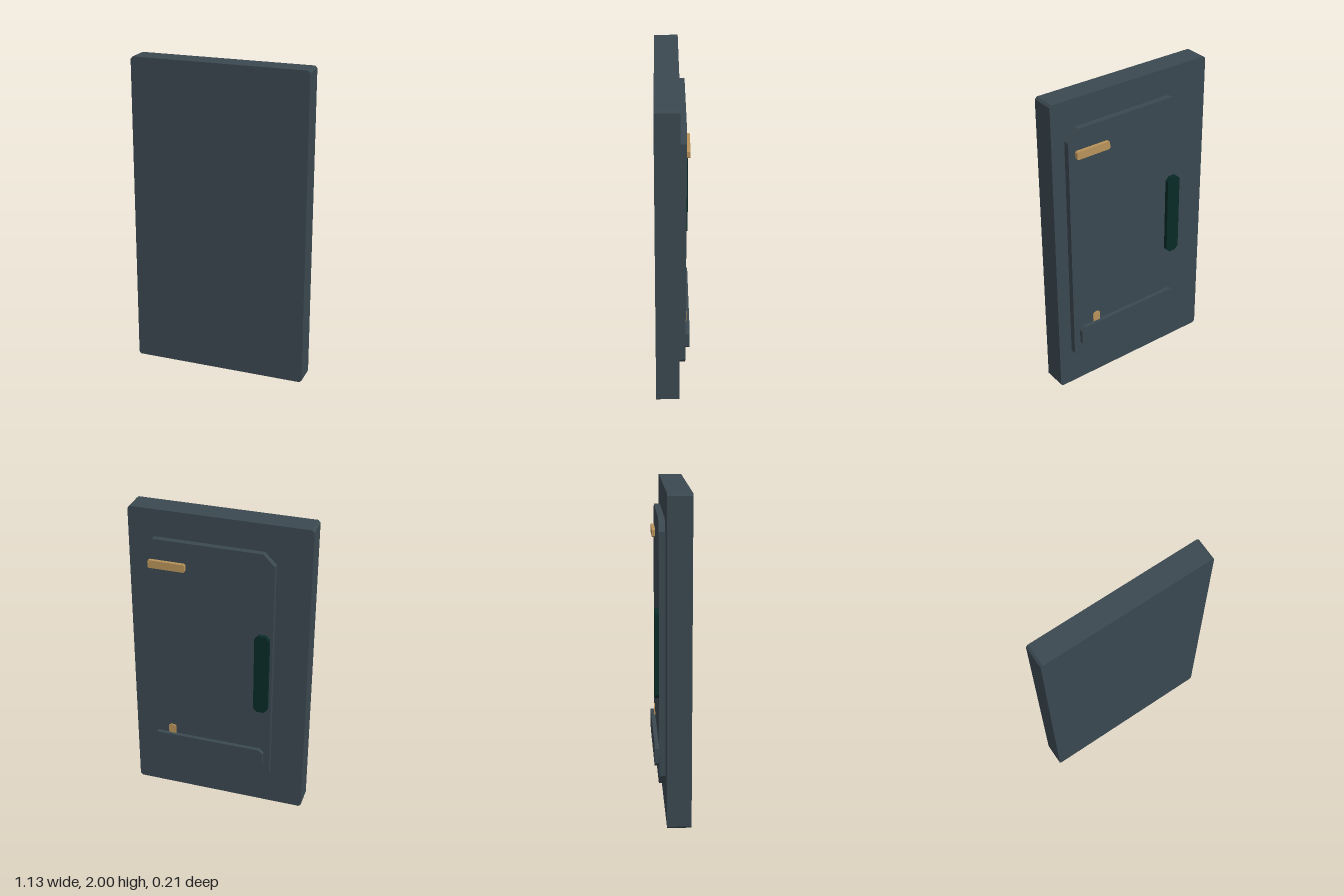
import * as THREE from 'three';

export function createModel() {
  const model = new THREE.Group();
  model.name = 'wallPanel';

  const slate = new THREE.MeshStandardMaterial({ color: 0x3a4850 });
  slate.name = 'slate';
  const brass = new THREE.MeshStandardMaterial({ color: 0xb9935a });
  brass.name = 'brass';
  const darkGreen = new THREE.MeshStandardMaterial({ color: 0x082a27 });
  darkGreen.name = 'darkGreen';

  // Plate with cut corners: x0..x1, y0..y1, extruded from z0 to z1
  function plate(name, material, [x0, x1], [y0, y1], [z0, z1], cut) {
    const shape = new THREE.Shape([
      [x0 + cut, y0], [x1 - cut, y0], [x1, y0 + cut], [x1, y1 - cut],
      [x1 - cut, y1], [x0 + cut, y1], [x0, y1 - cut], [x0, y0 + cut],
    ].map(([x, y]) => new THREE.Vector2(x, y)));
    const geometry = new THREE.ExtrudeGeometry(shape, { depth: z1 - z0, bevelEnabled: false });
    geometry.translate(0, 0, z0);
    const mesh = new THREE.Mesh(geometry, material);
    mesh.name = name;
    model.add(mesh);
  }

  // Main slab and the raised panel on its back
  plate('slab', slate, [-0.563, 0.563], [0, 2], [-0.041, 0.105], 0.014);
  plate('backPanel', slate, [-0.351, 0.474], [0.182, 1.826], [-0.079, -0.041], 0.072);

  // Fittings on the back panel
  plate('lowerBar', slate, [-0.31, 0.43], [0.3, 0.443], [-0.105, -0.079], 0.026);
  plate('sideGrip', darkGreen, [-0.334, -0.242], [0.743, 1.29], [-0.105, -0.079], 0.024);
  plate('upperStrip', brass, [0.196, 0.428], [1.642, 1.693], [-0.1, -0.079], 0.007);
  plate('smallTab', brass, [0.28, 0.328], [0.43, 0.508], [-0.086, -0.079], 0.01);

  return model;
}
